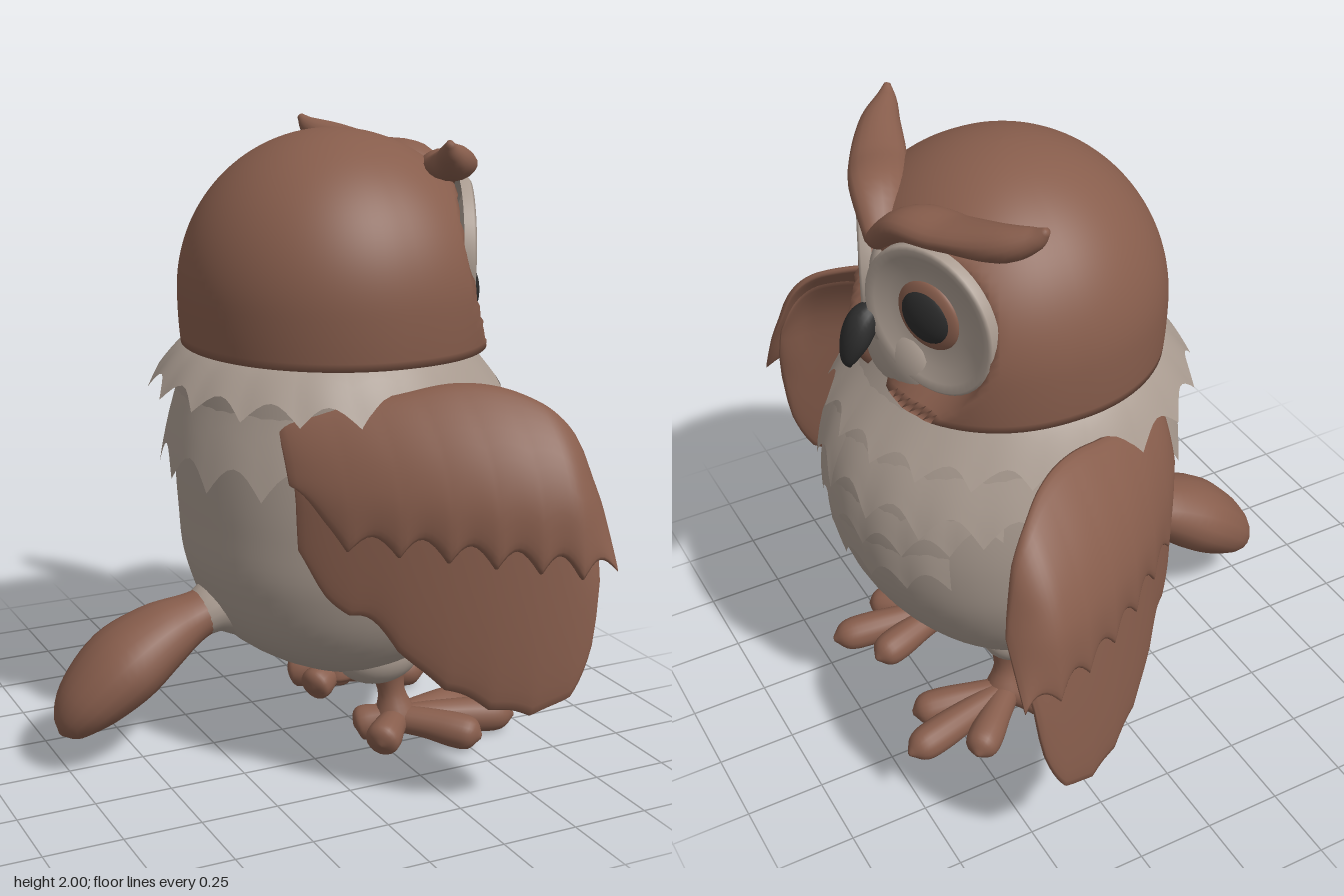
import * as THREE from 'three';

const mat = (name, color, side = THREE.FrontSide) => {
  const m = new THREE.MeshStandardMaterial({ color, side });
  m.name = name;
  return m;
};

// Smooth lookup in a table of rows [key, value, value, ...]
function at(rows, x) {
  const last = rows.length - 1;
  x = Math.min(Math.max(x, rows[0][0]), rows[last][0]);
  let i = 0;
  while (i < last - 1 && x > rows[i + 1][0]) i++;
  const slope = (k, c) => {
    const p = rows[Math.max(k - 1, 0)], n = rows[Math.min(k + 1, last)];
    return (n[c] - p[c]) / (n[0] - p[0]);
  };
  const h = rows[i + 1][0] - rows[i][0], t = (x - rows[i][0]) / h;
  return rows[i].slice(1).map((v, k) => {
    const c = k + 1, t2 = t * t, t3 = t2 * t;
    return (2 * t3 - 3 * t2 + 1) * v + (t3 - 2 * t2 + t) * h * slope(i, c)
      + (3 * t2 - 2 * t3) * rows[i + 1][c] + (t3 - t2) * h * slope(i + 1, c);
  });
}

// Closed skin over a list of rings, capped, always facing outward
function loft(rings) {
  const n = rings[0].length, pts = rings.flat(), idx = [];
  rings.slice(1).forEach((_, i) => {
    for (let j = 0; j < n; j++) {
      const a = i * n + j, b = i * n + (j + 1) % n;
      idx.push(a, a + n, b, b, a + n, b + n);
    }
  });
  [0, rings.length - 1].forEach((r, end) => {
    const c = new THREE.Vector3();
    rings[r].forEach(p => c.addScaledVector(p, 1 / n));
    pts.push(c);
    for (let j = 0; j < n; j++) {
      const a = r * n + j, b = r * n + (j + 1) % n;
      idx.push(pts.length - 1, end ? b : a, end ? a : b);
    }
  });
  let volume = 0;
  const cross = new THREE.Vector3();
  for (let i = 0; i < idx.length; i += 3)
    volume += cross.crossVectors(pts[idx[i]], pts[idx[i + 1]]).dot(pts[idx[i + 2]]);
  if (volume < 0) idx.reverse();
  const g = new THREE.BufferGeometry().setFromPoints(pts);
  g.setIndex(idx);
  g.computeVertexNormals();
  return g;
}

// Tapered tube through rows [x, y, z, upRadius, sideRadius]
function limb(rows, side = new THREE.Vector3(0, 0, 1), steps = 20) {
  const table = rows.map((r, i) => [i, ...r]), rings = [];
  const pos = k => new THREE.Vector3(...at(table, k).slice(0, 3));
  for (let i = 0; i <= steps; i++) {
    const k = i / steps * (rows.length - 1), v = at(table, k), p = pos(k);
    const tan = pos(k + 0.05).sub(pos(k - 0.05)).normalize();
    const up = new THREE.Vector3().crossVectors(side, tan).normalize();
    const out = new THREE.Vector3().crossVectors(tan, up);
    rings.push(ring(18, a => p.clone().addScaledVector(up, Math.cos(a) * Math.max(v[3], 0.004))
      .addScaledVector(out, Math.sin(a) * Math.max(v[4], 0.004))));
  }
  return loft(rings);
}

// Body outline: y, back x, front x, half width
const BODY = [[0.24, 0.12, 0.28, 0.08], [0.28, -0.02, 0.42, 0.26], [0.4, -0.2, 0.57, 0.4],
  [0.6, -0.3, 0.7, 0.49], [0.8, -0.325, 0.755, 0.52], [1.0, -0.335, 0.76, 0.52],
  [1.15, -0.33, 0.715, 0.505], [1.33, -0.3, 0.61, 0.475], [1.42, -0.2, 0.56, 0.4]];
const bodyAt = (a, y, off = 0) => {
  const [back, front, half] = at(BODY, y);
  return new THREE.Vector3((back + front) / 2 + Math.cos(a) * ((front - back) / 2 + off),
    y, Math.sin(a) * (half + off));
};
const ring = (n, fn) => Array.from({ length: n }, (_, j) => fn(j / n * Math.PI * 2));

// Row of pointed feathers lying on the body between angles a0 and a1
function featherRow(count, a0, a1, top, bottom, flare, tip) {
  const nu = count * 8, nv = 5, pos = [], idx = [];
  for (let i = 0; i <= nu; i++) {
    const a = a0 + (a1 - a0) * i / nu, notch = Math.abs(Math.sin(i / 8 * Math.PI));
    for (let j = 0; j <= nv; j++) {
      const v = j / nv;
      const y = top(a) + (bottom(a) + tip * notch - top(a)) * v;
      pos.push(...bodyAt(a, y, -0.012 + 0.015 * v + flare(a) * v * (1 - 0.35 * notch)).toArray());
      if (i < nu && j < nv) {
        const k = i * (nv + 1) + j;
        idx.push(k, k + nv + 1, k + 1, k + 1, k + nv + 1, k + nv + 2);
      }
    }
  }
  const g = new THREE.BufferGeometry();
  g.setAttribute('position', new THREE.Float32BufferAttribute(pos, 3));
  g.setIndex(idx);
  g.computeVertexNormals();
  return g;
}

// Distance of the wing from the middle: spreads forward, curls in at the top and front
const wingZ = (x, y) => 0.63 + 0.87 * x - 0.56 * x * x + 0.1 * (0.6 - y)
  - 1.6 * Math.max(0, y - 0.95) ** 2
  - 5 * Math.max(0, x - 0.48) ** 2 * Math.min(1, Math.max(0, (y - 0.75) / 0.3));

// Wing layer from an outline of rows [x, topY, bottomY]; s is the side
function wingLayer(rows, s, thick, lift, flare, tip) {
  const x0 = rows[0][0], x1 = rows[rows.length - 1][0], n = 56, rings = [];
  for (let i = 0; i <= n; i++) {
    const t = i / n, x = x0 + (x1 - x0) * t;
    let [top, low] = at(rows, x);
    low += tip * Math.abs(Math.sin(t * 7 * Math.PI));
    const end = Math.pow(Math.max(1 - (2 * t - 1) ** 2, 0.01), 0.4);
    rings.push(ring(32, a => {
      const y = (top + low) / 2 + (top - low) / 2 * Math.cos(a), sn = Math.sin(a);
      const z = wingZ(x, y) + lift + flare * Math.max(0, 1.05 - y)
        + thick * end * Math.sign(sn) * Math.abs(sn) ** 0.6;
      return new THREE.Vector3(x, y, s * z);
    }));
  }
  return loft(rings);
}

export function createModel() {
  const brown = mat('brown feathers', 0x875d4c);
  const grey = mat('pale feathers', 0xa99b90, THREE.DoubleSide);
  const black = mat('black', 0x2c2c2c);
  const model = new THREE.Group();
  model.name = 'owl';
  const add = (name, geo, material, parent = model) => {
    const m = new THREE.Mesh(geo, material);
    m.name = name;
    parent.add(m);
    return m;
  };
  const ball = (name, material, p, scale, parent) => {
    const m = add(name, new THREE.SphereGeometry(1, 32, 20), material, parent);
    m.position.set(...p);
    m.scale.set(...scale);
  };

  // Body
  const bodyRings = [];
  for (let i = 0; i <= 36; i++) bodyRings.push(ring(56, a => bodyAt(a, 0.24 + 1.18 * i / 36)));
  add('body', loft(bodyRings), grey);

  // Collar and chest feathers
  const back = a => (1 - Math.cos(a)) / 2, T = Math.PI * 2;
  add('collar', featherRow(20, 0, T, () => 1.36, a => 1.17 - 0.02 * Math.cos(a),
    a => 0.025 + 0.065 * back(a), 0.06), grey);
  add('lowerCollar', featherRow(18, 0, T, () => 1.24, a => 0.95 + 0.02 * Math.cos(a),
    a => 0.018 + 0.03 * back(a), 0.09), grey);
  [[7, 1.15, 1.08, 0.84], [5, 0.85, 0.94, 0.7]].forEach(([n, w, top, low]) =>
    add('chestFeathers', featherRow(n + 1, -w, w, a => top + 0.05 * a * a,
      a => low + 0.1 * a * a, () => 0.012, 0.07), grey));

  // Head dome with full cheeks, hollowed where the face discs sit
  const headRings = [];
  for (let i = 0; i <= 36; i++) {
    const t = -0.345 + (Math.PI / 2 + 0.335) * i / 36;
    const y = 1.5 + 0.5 * Math.sin(t), r = t < 0 ? 0.5 - 0.08 * t * t : 0.5 * Math.cos(t);
    headRings.push(ring(96, a => {
      const z = Math.sin(a) * r, c = Math.cos(a), w = Math.abs(z);
      const d = Math.hypot((w - 0.222) / 0.21, (y - 1.62) / 0.235);
      const face = 0.572 - 0.45 * w + Math.max(0, d - 0.8) * 0.3 * Math.min(1, w / 0.2)
        + Math.max(0, y - 1.78) * 0.6;
      const x = 0.175 + (c > 0 ? c ** 0.85 : c) * r * 0.985;
      return new THREE.Vector3(Math.min(x, face), y, z);
    }));
  }
  add('head', loft(headRings), brown);
  ball('chin', grey, [0.49, 1.41, 0], [0.118, 0.17, 0.21]);
  ball('noseBridge', grey, [0.555, 1.58, 0], [0.06, 0.2, 0.06]);

  // Beak
  add('beak', limb([[0.58, 1.575, 0, 0.02, 0.02], [0.63, 1.54, 0, 0.045, 0.047],
    [0.665, 1.48, 0, 0.042, 0.054], [0.69, 1.42, 0, 0.024, 0.032],
    [0.69, 1.39, 0, 0.006, 0.008]]), black);

  const discProfile = [[0, -0.035], [0.1, -0.033], [0.16, -0.022], [0.2, -0.004], [0.224, 0.004],
    [0.234, -0.004], [0.236, -0.035]].map(p => new THREE.Vector2(...p));

  for (const s of [1, -1]) {
    const side = s > 0 ? 'left' : 'right';

    // Face disc and eye
    const eye = new THREE.Group();
    eye.name = side + 'Eye';
    eye.position.set(0.535, 1.62, 0.222 * s);
    eye.rotation.y = -s * 0.42;
    model.add(eye);
    add('faceDisc', new THREE.LatheGeometry(discProfile, 48).rotateZ(-Math.PI / 2), grey, eye);
    ball('iris', brown, [-0.035, 0, -0.02 * s], [0.03, 0.11, 0.112], eye);
    ball('pupil', black, [-0.03, 0, -0.02 * s], [0.038, 0.088, 0.092], eye);

    // Brow sweeping out to an ear tuft
    add(side + 'Brow', limb([[0.565, 1.785, -0.01 * s, 0.035, 0.05], [0.515, 1.878, 0.11 * s, 0.05, 0.085],
      [0.45, 1.897, 0.25 * s, 0.045, 0.085], [0.38, 1.92, 0.39 * s, 0.053, 0.065],
      [0.325, 1.955, 0.465 * s, 0.036, 0.037], [0.3, 1.993, 0.502 * s, 0.01, 0.01]],
      new THREE.Vector3(1, 0, 0), 30), brown);

    // Wing: long feathers, covering feathers, shoulder
    const wing = new THREE.Group();
    wing.name = side + 'Wing';
    model.add(wing);
    add('longFeathers', wingLayer([[-0.16, 1.05, 0.8], [-0.1, 1.15, 0.65], [0, 1.18, 0.6], [0.1, 1.2, 0.47],
      [0.2, 1.22, 0.4], [0.33, 1.22, 0.35], [0.47, 1.2, 0.38], [0.56, 1.1, 0.54], [0.6, 1, 0.85]],
      s, 0.037, 0, 0, 0.015), brown, wing);
    add('coverFeathers', wingLayer([[-0.18, 1.18, 1.0], [-0.1, 1.21, 0.84], [0.1, 1.26, 0.82], [0.3, 1.3, 0.8],
      [0.46, 1.27, 0.78], [0.57, 1.17, 0.76], [0.63, 0.98, 0.78]], s, 0.042, 0.02, 0.07, 0.06), brown, wing);
    ball('shoulder', brown, [0.1, 1.02, 0.49 * s], [0.2, 0.19, 0.065], wing);

    // Thigh, leg and toes
    ball(side + 'Thigh', grey, [0.24, 0.33, 0.22 * s], [0.15, 0.11, 0.105]);
    const foot = new THREE.Group();
    foot.name = side + 'Leg';
    model.add(foot);
    add('shin', limb([[0.28, 0.33, 0.2 * s, 0.085, 0.085], [0.29, 0.25, 0.2 * s, 0.06, 0.06],
      [0.3, 0.17, 0.21 * s, 0.045, 0.045], [0.31, 0.08, 0.22 * s, 0.075, 0.07],
      [0.31, 0.04, 0.22 * s, 0.05, 0.05]]), brown, foot);
    [[0.67, 0.3], [0.59, 0.155], [0.5, 0.4], [0.2, 0.17], [0.2, 0.33]].forEach(([x, z]) => {
      const p = (t, y, r) => [0.31 + (x - 0.31) * t, y, (0.23 + (z - 0.23) * t) * s, r, r];
      add('toe', limb([p(0, 0.08, 0.045), p(0.4, 0.075, 0.05), p(0.78, 0.063, 0.058),
        p(1, 0.056, 0.05), p(1.12, 0.05, 0.008)], new THREE.Vector3(0, 1, 0)), brown, foot);
    });
  }

  // Tail
  add('tailBase', limb([[-0.14, 0.5, 0, 0.14, 0.16], [-0.24, 0.485, 0, 0.09, 0.11],
    [-0.3, 0.46, 0, 0.068, 0.085]]), grey);
  add('tail', limb([[-0.22, 0.49, 0, 0.07, 0.085], [-0.32, 0.46, 0, 0.078, 0.095],
    [-0.43, 0.415, 0, 0.105, 0.135], [-0.56, 0.335, 0, 0.123, 0.165], [-0.68, 0.235, 0, 0.1, 0.135],
    [-0.75, 0.16, 0, 0.055, 0.075], [-0.775, 0.135, 0, 0.008, 0.01]], undefined, 30), brown);
  return model;
}
